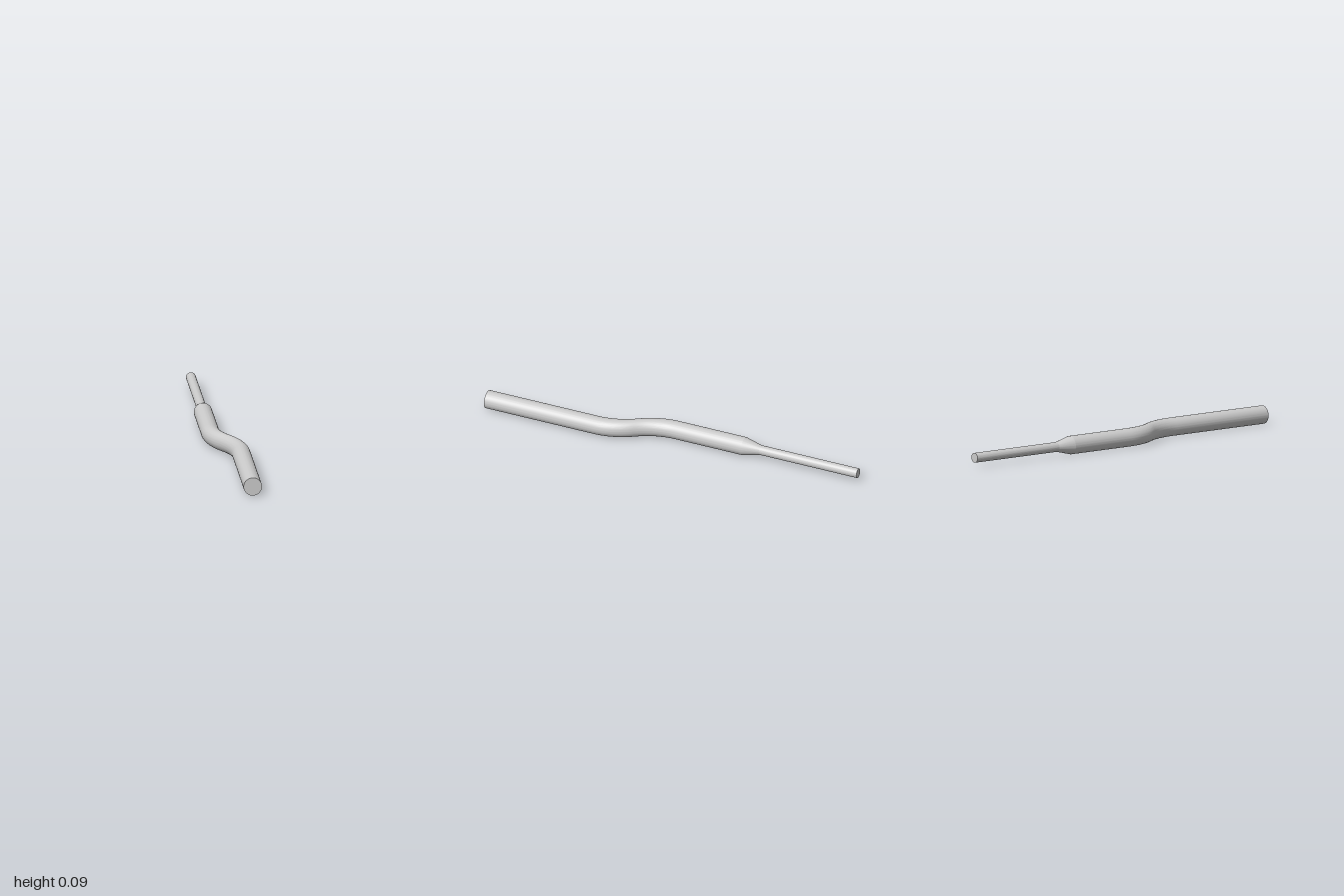
import * as THREE from 'three';
import { toCreasedNormals } from 'three/addons/utils/BufferGeometryUtils.js';

const R = 0.047;        // thick bar radius
const r = 0.025;        // thin shank radius
const OFFSET = 0.06;    // sideways position of each straight run
const BEND_START = 0, BEND_END = 0.4;
const SIDES = 48;

// Sideways position of the centre line: two equal arcs joining the straight runs
function centreX(z) {
  const half = (BEND_END - BEND_START) / 2;
  const arc = (half * half + OFFSET * OFFSET) / (2 * OFFSET);
  const drop = (d) => arc - Math.sqrt(arc * arc - d * d);
  if (z <= BEND_START) return -OFFSET;
  if (z >= BEND_END) return OFFSET;
  return z < BEND_START + half ? -OFFSET + drop(z - BEND_START) : OFFSET - drop(BEND_END - z);
}

// Turn a [radius, z] profile about the z axis, then shift each section onto the centre line
function makeRod(name, profile, material) {
  const points = profile.map(([radius, z]) => new THREE.Vector2(radius, z));
  const geometry = new THREE.LatheGeometry(points, SIDES);
  geometry.rotateX(Math.PI / 2);
  const pos = geometry.attributes.position;
  for (let i = 0; i < pos.count; i++) {
    pos.setX(i, pos.getX(i) + centreX(pos.getZ(i)));
    pos.setY(i, pos.getY(i) + R);
  }
  const mesh = new THREE.Mesh(toCreasedNormals(geometry, 0.2), material);
  mesh.name = name;
  return mesh;
}

export function createModel() {
  const group = new THREE.Group();
  group.name = 'offsetBar';
  const material = new THREE.MeshStandardMaterial({ color: 0xcccccc });

  // Thin shank, closed at the back
  group.add(makeRod('thinShank', [[0, -1], [r, -1], [r, -0.46]], material));

  // Conical step up to the full diameter
  group.add(makeRod('taper', [[r, -0.46], [R, -0.37]], material));

  // Thick bar with the S-bend, closed at the front
  const body = [[R, -0.37]];
  const steps = 32;
  for (let i = 0; i <= steps; i++) {
    body.push([R, BEND_START + (BEND_END - BEND_START) * i / steps]);
  }
  body.push([R, 1], [0, 1]);
  group.add(makeRod('bentBar', body, material));

  return group;
}
